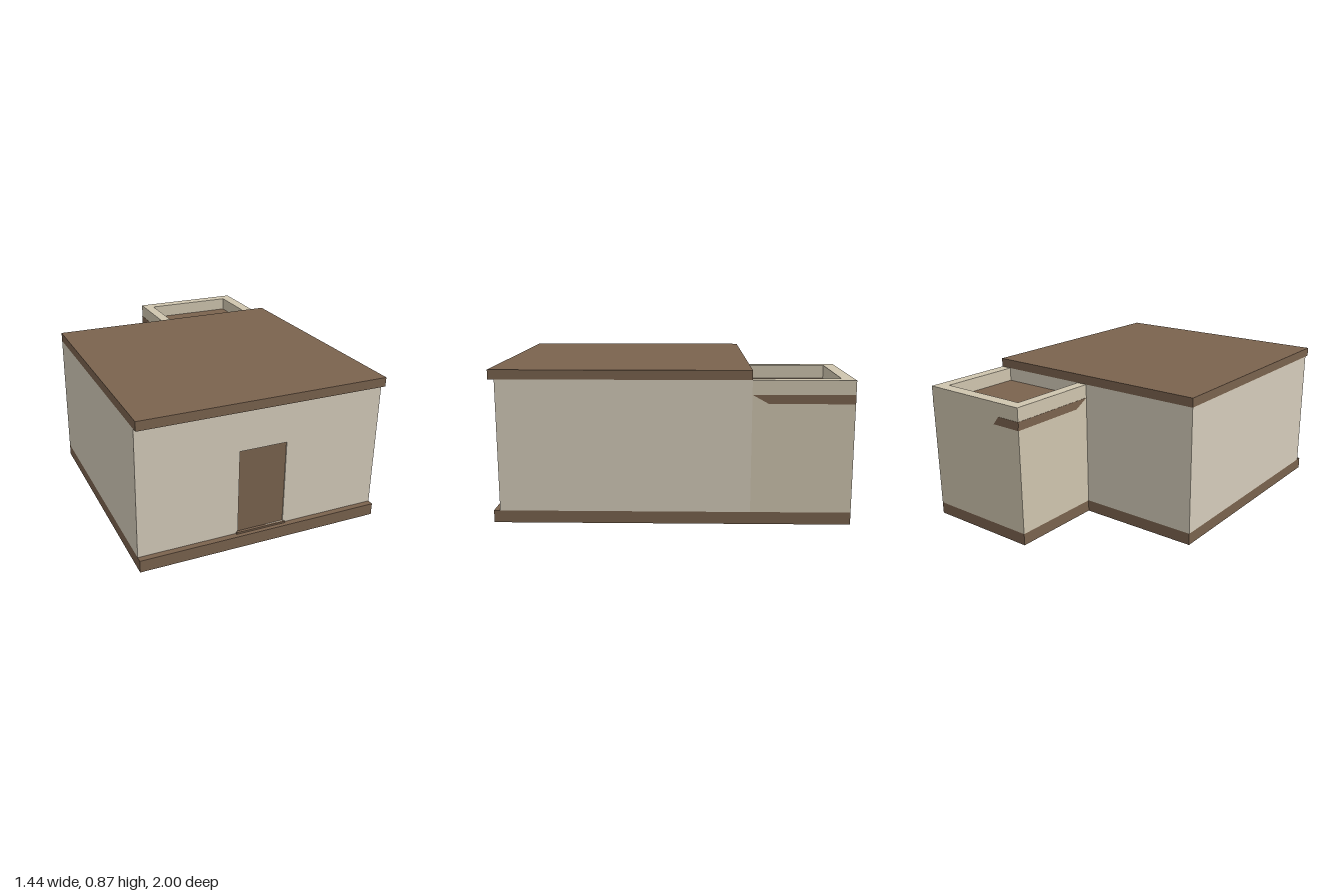
import * as THREE from 'three';

const paint = (color) => new THREE.MeshStandardMaterial({ color });
const wall = paint(0xd5ccbb);
const annexWall = paint(0xcfc5af);
const brown = paint(0x7a634e);

const outline = (points) => new THREE.Shape(points.map(([x, y]) => new THREE.Vector2(x, y)));

const rect = (x0, x1, y0, y1) => outline([[x0, y0], [x1, y0], [x1, y1], [x0, y1]]);

function addMesh(group, name, geometry, material) {
  const mesh = new THREE.Mesh(geometry, material);
  mesh.name = name;
  group.add(mesh);
  return mesh;
}

// Box given by its limits on each axis
function block(group, name, material, [x0, x1], [y0, y1], [z0, z1]) {
  const mesh = addMesh(group, name, new THREE.BoxGeometry(x1 - x0, y1 - y0, z1 - z0), material);
  mesh.position.set((x0 + x1) / 2, (y0 + y1) / 2, (z0 + z1) / 2);
}

// Floor plan in x and z, raised from y0 to y1
function planSolid(group, name, material, shape, y0, y1) {
  const geometry = new THREE.ExtrudeGeometry(shape, { depth: y1 - y0, bevelEnabled: false });
  geometry.rotateX(Math.PI / 2);
  addMesh(group, name, geometry, material).position.y = y1;
}

export function createModel() {
  const house = new THREE.Group();
  house.name = 'house';
  const W = 0.72, back = -0.44, floor = 0.07, top = 0.815, front = 0.965;

  // L-shaped foundation under the main room and the annex
  planSolid(house, 'foundation', brown,
    outline([[-W, 1], [-W, back], [0.02, back], [0.02, -1], [W, -1], [W, 1]]), 0, floor);

  // Main room: side and back walls
  for (const s of [-1, 1]) {
    const xs = [s * W, s * (W - 0.07)].sort((a, b) => a - b);
    block(house, s > 0 ? 'leftWall' : 'rightWall', wall, xs, [floor, top], [back, front]);
  }
  block(house, 'backWall', wall, [-W + 0.07, W - 0.07], [floor, top], [back, back + 0.07]);

  // Front wall with the door opening
  const frontShape = rect(-W + 0.07, W - 0.07, floor, top);
  frontShape.holes.push(rect(-0.14, 0.14, 0.08, 0.573));
  const frontWall = addMesh(house, 'frontWall',
    new THREE.ExtrudeGeometry(frontShape, { depth: 0.07, bevelEnabled: false }), wall);
  frontWall.position.z = front - 0.07;

  // Door and its sill
  block(house, 'door', brown, [-0.14, 0.14], [0.08, 0.573], [front - 0.05, front - 0.006]);
  block(house, 'doorSill', brown, [-0.15, 0.15], [floor, 0.08], [front - 0.05, front + 0.01]);

  // Flat main roof, overhanging the front
  block(house, 'mainRoof', brown, [-W, W], [top, 0.868], [back, 1]);

  // Annex: three walls forming a parapet around a sunken roof
  planSolid(house, 'annexWalls', annexWall, outline([
    [0.02, back], [0.02, -1], [W, -1], [W, back],
    [0.65, back], [0.65, -0.93], [0.085, -0.93], [0.085, back],
  ]), floor, top);
  block(house, 'annexRoof', brown, [0.085, 0.65], [0.685, 0.735], [-0.93, back]);

  // Edges of the annex roof slab showing through the walls
  const edge = { depth: 0.003, bevelEnabled: false };
  const sideEdge = outline([[0.44, 0.735], [0.53, 0.685], [1, 0.685], [1, 0.735]]);
  for (const x of [0.0185, W - 0.0015]) {
    const mesh = addMesh(house, 'annexRoofSideEdge', new THREE.ExtrudeGeometry(sideEdge, edge), brown);
    mesh.rotation.y = Math.PI / 2;
    mesh.position.x = x;
  }
  const backEdge = outline([[0.02, 0.685], [0.21, 0.685], [0.17, 0.735], [0.02, 0.735]]);
  addMesh(house, 'annexRoofBackEdge', new THREE.ExtrudeGeometry(backEdge, edge), brown).position.z = -1.0015;

  return house;
}
